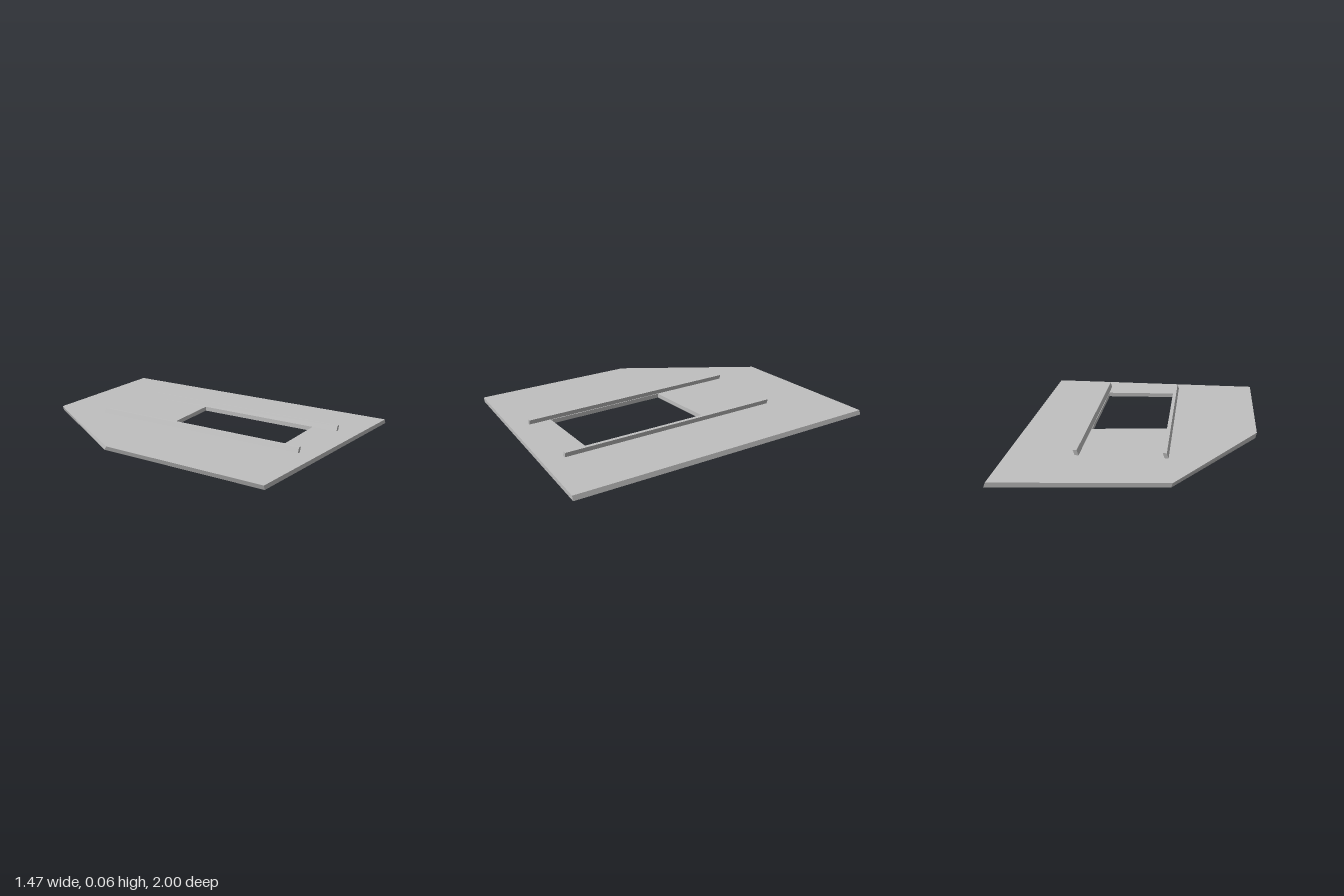
import * as THREE from 'three';

// Moves every vertex of a geometry by a rule and refreshes its flat normals
function reshape(geometry, rule) {
  const p = geometry.attributes.position;
  const v = new THREE.Vector3();
  for (let i = 0; i < p.count; i++) {
    v.fromBufferAttribute(p, i);
    rule(v);
    p.setXYZ(i, v.x, v.y, v.z);
  }
  geometry.computeVertexNormals();
  return geometry;
}

const points = (list) => list.map(([x, z]) => new THREE.Vector2(x, z));

export function createModel() {
  const group = new THREE.Group();
  const grey = new THREE.MeshStandardMaterial({ color: 0xc0c0c0 });
  grey.name = 'light grey';

  const add = (name, geometry) => {
    const mesh = new THREE.Mesh(geometry, grey);
    mesh.name = name;
    group.add(mesh);
  };

  // Five-sided panel with a four-sided opening (outline in x, z)
  const outline = new THREE.Shape(points([
    [-0.735, 0.945], [-0.735, -0.09], [-0.26, -0.915], [0.72, -1], [0.72, 1],
  ]));
  outline.holes.push(new THREE.Path(points([
    [-0.184, -0.06], [0.298, -0.11], [0.298, 0.695], [-0.176, 0.715],
  ])));
  const panel = new THREE.ExtrudeGeometry(outline, { depth: 1, bevelEnabled: false });
  panel.rotateX(Math.PI / 2);

  // Slight slope across x, with the outer edges slanted
  add('panel', reshape(panel, (v) => {
    const t = -v.y; // 0 at the top, 1 underneath
    const outerX = v.x < -0.25 || v.x > 0.7;
    const cutCorner = v.x < -0.7 && v.z < 0;
    v.y = 0.029 - 0.0027 * v.x - 0.027 * t;
    if (outerX) v.x += 0.01 * t;
    if (cutCorner) v.z -= 0.025 * t;
  }));

  // Rails beside the opening, leaning towards +x; skew turns them slightly in plan
  const addRail = (name, x, skew) => {
    const rail = new THREE.BoxGeometry(0.023, 1, 1).toNonIndexed();
    add(name, reshape(rail, (v) => {
      const up = v.y + 0.5;
      v.x += x + 0.011 * up + skew * v.z;
      v.y = 0.027 + 0.033 * up;
      v.z = 0.1425 + 1.425 * v.z;
    }));
  };
  addRail('rightRail', -0.199, 0.012);
  addRail('leftRail', 0.312, 0);

  return group;
}
